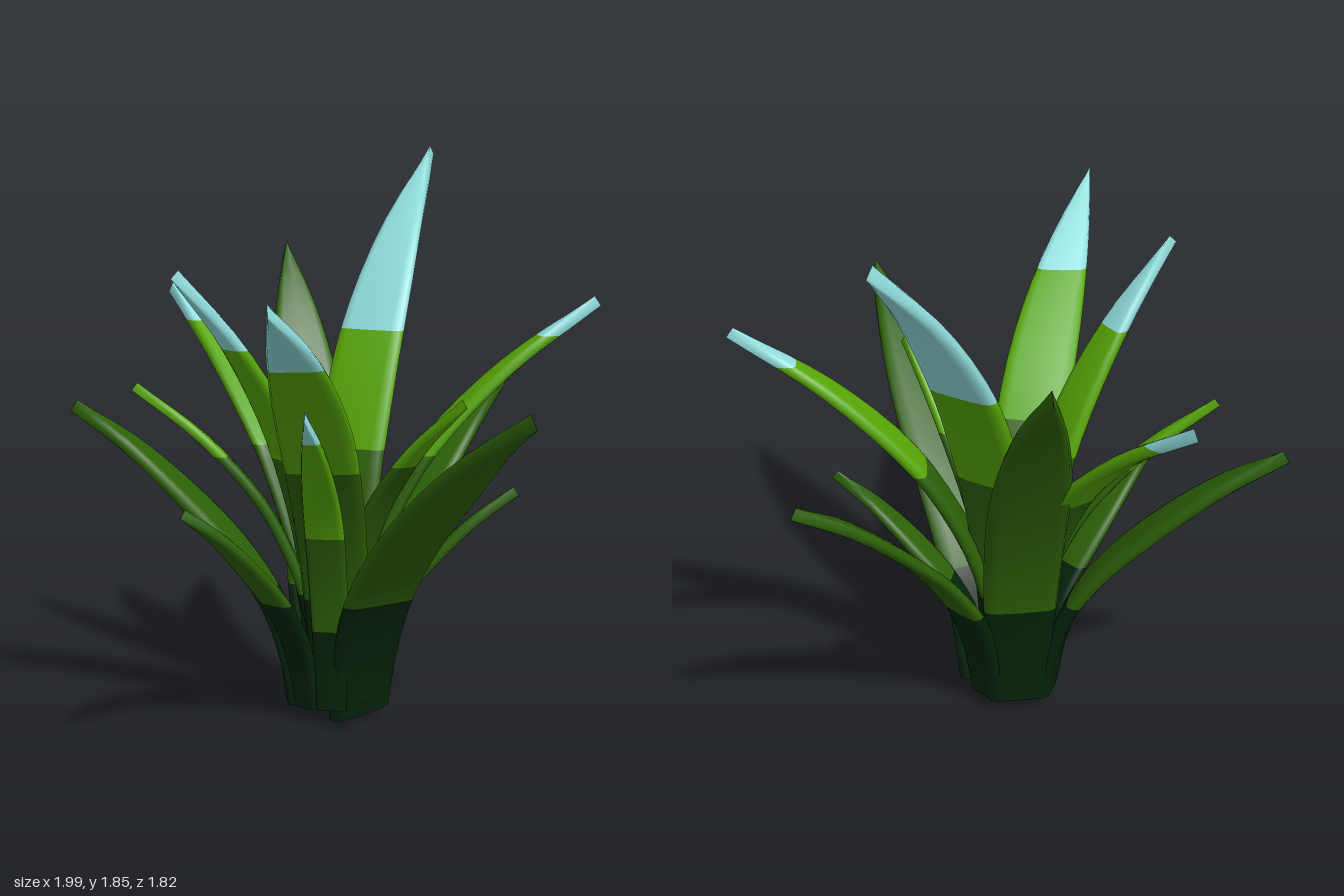
import * as THREE from 'three';

const mat = (name, color) => new THREE.MeshStandardMaterial({ name, color });
const SIDES = 12, ROWS = 18;

// Outward arching centre lines: [share of the reach, share of the height]
const spreading = [[0, 0], [0.035, 0.16], [0.11, 0.33], [0.2, 0.445], [0.34, 0.58], [0.72, 0.855], [1, 1]];
const upright = [[0, 0], [0.03, 0.18], [0.1, 0.37], [0.2, 0.51], [0.34, 0.65], [0.64, 0.84], [1, 1]];

// Half width along the blade: fairly broad foot, full middle, rounded taper to a point
const widthAt = t => t < 0.5
  ? 0.78 + 0.22 * Math.sin(t * Math.PI)
  : Math.max(0.012, 1 - Math.pow((t - 0.5) / 0.5, 2));

// Squared-off oval, so the blade has flat faces and narrow edges
const squared = v => Math.sign(v) * Math.pow(Math.abs(v), 0.55);

// Blade swept from the foot to the tip
function bladeGeometry({ base, tip, width, arch, roll = 0, foot = 0.05 }) {
  const start = new THREE.Vector3(base[0], foot, base[1]);
  const span = new THREE.Vector3(...tip).sub(start);
  const spine = new THREE.CatmullRomCurve3(arch.map(([r, h]) =>
    new THREE.Vector3(r, h, r).multiply(span).add(start)));
  const side = new THREE.Vector3(span.z, 0, -span.x).normalize();
  side.y = roll;
  side.normalize();
  const thick = 0.012 + 0.06 * width;
  const pos = [], idx = [];
  for (let i = -1; i <= ROWS; i++) {          // row -1 repeats the foot for a crisp cap
    const t = Math.max(i, 0) / ROWS;
    const c = spine.getPointAt(t);
    const up = spine.getTangentAt(t).cross(side).normalize();
    const w = width / 2 * widthAt(t), h = thick * (1.15 - 0.25 * t);
    for (let j = 0; j < SIDES; j++) {
      const a = j / SIDES * Math.PI * 2;
      pos.push(...c.clone().addScaledVector(side, w * squared(Math.cos(a)))
        .addScaledVector(up, h * squared(Math.sin(a))).toArray());
    }
  }
  for (let i = 1; i <= ROWS; i++) {
    for (let j = 0; j < SIDES; j++) {
      const k = (j + 1) % SIDES, a = i * SIDES, b = a + SIDES;
      idx.push(a + j, a + k, b + j, a + k, b + k, b + j);
    }
  }
  const last = (ROWS + 1) * SIDES;
  for (let j = 1; j < SIDES - 1; j++) {
    idx.push(0, j + 1, j, last, last + j, last + j + 1);
  }
  const geo = new THREE.BufferGeometry();
  geo.setAttribute('position', new THREE.Float32BufferAttribute(pos, 3));
  geo.setIndex(idx);
  geo.computeVertexNormals();
  return geo.toNonIndexed();
}

// Keep the part of a polygon on one side of a level (sign 1: above, -1: below)
function clip(poly, level, sign) {
  const out = [];
  poly.forEach((a, i) => {
    const b = poly[(i + 1) % poly.length];
    const da = (a.p.y - level) * sign, db = (b.p.y - level) * sign;
    if (da >= 0) out.push(a);
    if (da * db < 0) {
      const t = da / (da - db);
      out.push({ p: a.p.clone().lerp(b.p, t), n: a.n.clone().lerp(b.n, t).normalize() });
    }
  });
  return out;
}

// Slice of a blade between two heights
function slice(geo, lo, hi) {
  const P = geo.attributes.position, N = geo.attributes.normal, pos = [], nor = [];
  for (let i = 0; i < P.count; i += 3) {
    let poly = [0, 1, 2].map(k => ({
      p: new THREE.Vector3().fromBufferAttribute(P, i + k),
      n: new THREE.Vector3().fromBufferAttribute(N, i + k),
    }));
    poly = clip(clip(poly, lo, 1), hi, -1);
    for (let k = 1; k + 1 < poly.length; k++) {
      for (const v of [poly[0], poly[k], poly[k + 1]]) {
        pos.push(...v.p.toArray());
        nor.push(...v.n.toArray());
      }
    }
  }
  const out = new THREE.BufferGeometry();
  out.setAttribute('position', new THREE.Float32BufferAttribute(pos, 3));
  out.setAttribute('normal', new THREE.Float32BufferAttribute(nor, 3));
  return out;
}

export function createModel() {
  const plant = new THREE.Group();
  plant.name = 'spikyPlant';
  const colours = [
    mat('deepGreen', 0x04240a), mat('leafGreen', 0x2d6108),
    mat('brightGreen', 0x58a807), mat('paleBlue', 0x92dede),
  ];
  const bandNames = ['foot', 'lowerBlade', 'upperBlade', 'tip'];

  // Leaf kinds: centre line and the heights at which the colour changes
  const plain = { arch: spreading, bands: [0.42] };
  const tall = { arch: upright, bands: [0.42, 0.88, 1.26] };
  const slim = { arch: upright, bands: [0.42, 0.88] };
  const small = { arch: upright, bands: [0.32, 0.65, 1.0] };

  const leaves = [
    // Plain green outer leaves
    { name: 'leftOuterLeaf', ...plain, base: [0, -0.03], tip: [0.985, 1.14, 0.28], width: 0.28, roll: 0.17, foot: 0.025 },
    { name: 'rightBackLeaf', ...plain, base: [-0.18, -0.06], tip: [-0.75, 1.5, -0.44], width: 0.26 },
    { name: 'rightFrontLeaf', ...plain, base: [-0.19, 0.06], tip: [-0.82, 1.02, 0.485], width: 0.22 },
    { name: 'backLeaf', ...plain, base: [-0.1, -0.12], tip: [-0.12, 1.03, -0.9], width: 0.18 },
    { name: 'shortFrontLeaf', ...plain, base: [-0.1, 0.11], tip: [-0.12, 0.77, 0.635], width: 0.13 },
    { name: 'shortBackLeaf', ...plain, base: [-0.01, -0.06], tip: [0.385, 0.77, -0.37], width: 0.12 },
    // Tall leaves with pale tips
    { name: 'tallBackLeaf', ...tall, base: [-0.11, -0.03], tip: [-0.34, 1.84, -0.76], width: 0.25 },
    { name: 'tallLeftFrontLeaf', ...tall, base: [-0.04, 0.02], tip: [0.535, 1.475, 0.9], width: 0.24, roll: 0.18 },
    { name: 'tallLeftBackLeaf', ...tall, base: [-0.07, -0.04], tip: [0.44, 1.37, -0.715], width: 0.18 },
    { name: 'tallRightLeaf', ...tall, base: [-0.14, -0.03], tip: [-0.985, 1.36, -0.1], width: 0.19 },
    { name: 'tallFrontLeaf', ...tall, base: [-0.1, 0.02], tip: [-0.16, 1.51, 0.62], width: 0.17, roll: -0.1 },
    // Slim inner leaves
    { name: 'slimTippedLeaf', ...small, base: [-0.02, 0.08], tip: [0.265, 1.1, 0.485], width: 0.13 },
    { name: 'slimLeftLeaf', ...slim, base: [-0.09, -0.03], tip: [0.49, 1.11, 0.01], width: 0.11 },
    { name: 'slimRightLeaf', ...slim, base: [-0.12, 0.03], tip: [-0.535, 1.11, 0.465], width: 0.1 },
  ];

  for (const leaf of leaves) {
    const group = new THREE.Group();
    group.name = leaf.name;
    const blade = bladeGeometry(leaf);
    const levels = [-1, ...leaf.bands, 3];
    for (let i = 0; i + 1 < levels.length; i++) {
      const mesh = new THREE.Mesh(slice(blade, levels[i], levels[i + 1]), colours[i]);
      mesh.name = bandNames[i];
      group.add(mesh);
    }
    plant.add(group);
  }
  return plant;
}
